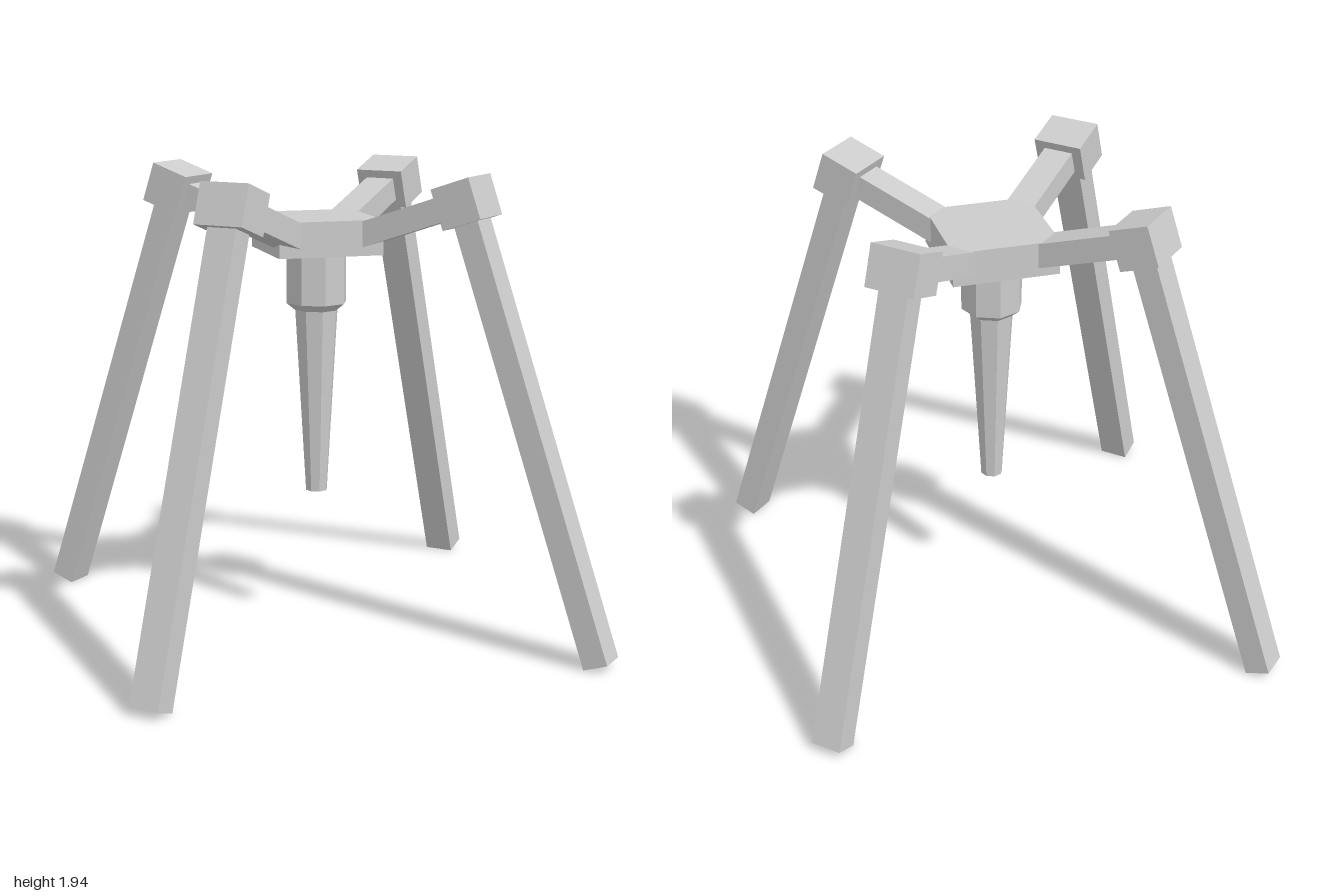
import * as THREE from 'three';

const TILT = 0.328; // lean shared by arms, joints and legs

export function createModel() {
  const model = new THREE.Group();
  model.name = 'fourLeggedStand';
  const grey = new THREE.MeshStandardMaterial({ color: 0xcccccc, flatShading: true });

  const add = (parent, name, geometry, x, y, z) => {
    const mesh = new THREE.Mesh(geometry, grey);
    mesh.name = name;
    mesh.position.set(x, y, z);
    parent.add(mesh);
    return mesh;
  };

  // Square hub plate
  add(model, 'hub', new THREE.BoxGeometry(0.44, 0.145, 0.44), 0, 1.6725, 0);

  // Eight-sided collar with chamfer, then tapering spike
  const profile = [[0, 0.58], [0.046, 0.58], [0.092, 1.355], [0.129, 1.385], [0.129, 1.61]]
    .map(([r, y]) => new THREE.Vector2(r, y));
  add(model, 'spike', new THREE.LatheGeometry(profile, 8), 0, 0, 0);

  // Four diagonal limbs, each laid out around its tilted joint
  const arm = new THREE.BoxGeometry(0.5, 0.1, 0.128);
  const joint = new THREE.BoxGeometry(0.17, 0.17, 0.215);
  const leg = new THREE.BoxGeometry(0.105, 1.92, 0.128);
  for (let i = 0; i < 4; i++) {
    const limb = new THREE.Group();
    limb.name = 'limb' + (i + 1);
    limb.rotation.y = Math.PI / 4 + i * Math.PI / 2;
    const knee = new THREE.Group();
    knee.name = 'limbAssembly';
    knee.position.set(0.677, 1.835, 0);
    knee.rotation.z = TILT;
    add(knee, 'arm', arm, -0.25, 0, 0);
    add(knee, 'joint', joint, 0, 0, 0);
    add(knee, 'leg', leg, 0, -0.96, 0);
    limb.add(knee);
    model.add(limb);
  }
  return model;
}
